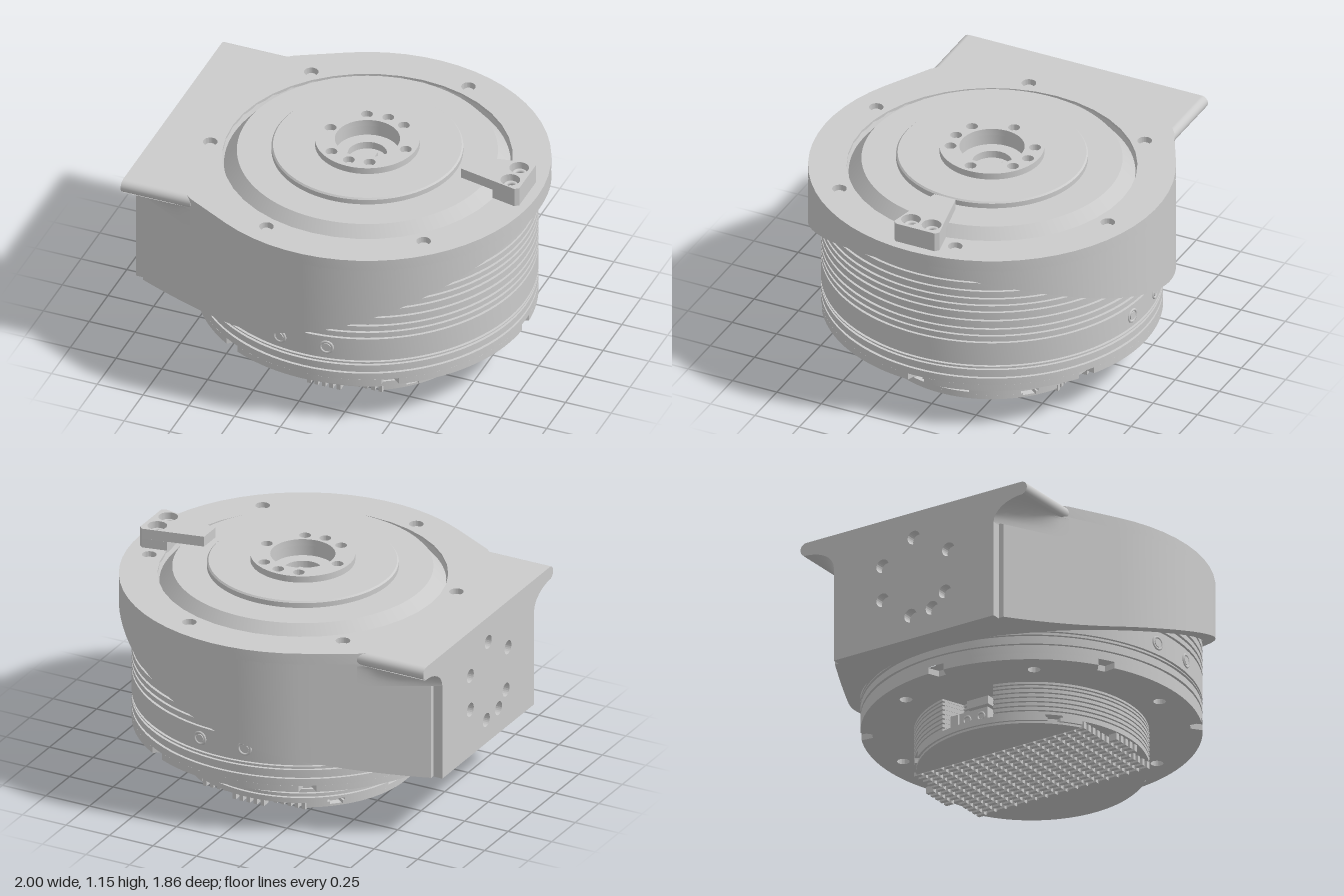
import * as THREE from 'three';
import { toCreasedNormals, mergeGeometries } from 'three/addons/utils/BufferGeometryUtils.js';

const CX = 0.065;            // main axis
const R = 0.93;              // housing radius
const PHI = THREE.MathUtils.degToRad(118); // where the arm walls leave the circle
const grey = new THREE.MeshStandardMaterial({ color: 0xcccccc });
const greyBoth = new THREE.MeshStandardMaterial({ color: 0xcccccc, side: THREE.DoubleSide });
const rad = THREE.MathUtils.degToRad;

const cutY = x => 0.53 + 0.305 * x + 0.115 * x * x;   // sloping lower edge of the housing
const tx = CX + R * Math.cos(PHI), tz = R * Math.sin(PHI);
const wallZ = x => tz + (x - tx) * 0.532;             // straight tangent wall of the arm

function add(group, name, geo, mat = grey) {
  const m = new THREE.Mesh(geo, mat);
  m.name = name;
  group.add(m);
  return m;
}

// Horizontal slab; shape coordinates are (x, z)
function slab(shape, y0, y1) {
  const g = new THREE.ExtrudeGeometry(shape, { depth: y1 - y0, bevelEnabled: false, curveSegments: 20 });
  return toCreasedNormals(g.rotateX(Math.PI / 2).translate(0, y1, 0), 0.5);
}

function circleHole(shape, x, y, r) {
  shape.holes.push(new THREE.Path().absarc(x, y, r, 0, Math.PI * 2, true));
}

function lathe(pts, seg = 96) {
  const g = new THREE.LatheGeometry(pts.map(p => new THREE.Vector2(...p)), seg);
  return toCreasedNormals(g, 0.5).translate(CX, 0, 0);
}

// Disc outline with radial dips: [angle, half angle, depth]
function discShape(r, dips, a0 = 0, a1 = Math.PI * 2) {
  const pts = [], n = 240;
  for (let i = 0; i < n; i++) {
    const a = a0 + (a1 - a0) * i / (n - 1 + (a1 - a0 > 6 ? 1 : 0));
    const dip = dips.find(d => Math.cos(a - d[0]) > Math.cos(d[1]));
    const q = dip ? r - dip[2] : r;
    pts.push(new THREE.Vector2(CX + q * Math.cos(a), q * Math.sin(a)));
  }
  return new THREE.Shape(pts);
}

// Surface between rows of points
function surface(rows, closed) {
  const n = rows[0].length, idx = [];
  for (let j = 0; j < rows.length - 1; j++) {
    for (let i = 0; i < (closed ? n : n - 1); i++) {
      const k = (i + 1) % n, a = j * n + i, b = j * n + k, d = a + n, c = b + n;
      idx.push(a, d, c, a, c, b);
    }
  }
  const g = new THREE.BufferGeometry();
  g.setAttribute('position', new THREE.Float32BufferAttribute(rows.flat(2), 3));
  g.setIndex(idx);
  return toCreasedNormals(g, 0.5);
}

function housing() {
  const g = new THREE.Group();
  g.name = 'housing';
  // wall outline: round part, then the two arm walls
  const loop = [];
  for (let i = 0; i <= 90; i++) {
    const a = -PHI + 2 * PHI * i / 90;
    loop.push([CX + R * Math.cos(a), R * Math.sin(a)]);
  }
  const xs = Array.from({ length: 10 }, (_, i) => tx + (-0.95 - tx) * (i + 1) / 10);
  xs.forEach(x => loop.push([x, wallZ(x)]));
  [...xs].reverse().forEach(x => loop.push([x, -wallZ(x)]));
  const low = loop.map(([x, z]) => [x, cutY(x), z]);
  const high = loop.map(([x, z]) => [x, 0.98, z]);
  const inner = loop.map(([x, z]) => {
    const a = Math.atan2(z, x - CX), ix = CX + 0.86 * Math.cos(a);
    return [ix, cutY(ix), 0.86 * Math.sin(a)];
  });
  add(g, 'housingWall', surface([low, high], true));
  add(g, 'housingUnderside', surface([inner, low], true), greyBoth);

  // top plate with ring opening and screw holes
  const top = new THREE.Shape();
  top.absarc(CX, 0, R, -PHI, PHI, false);
  [[-0.62, 0.688], [-0.66, 0.655], [-1, 0.655], [-1, -0.655], [-0.66, -0.655], [-0.62, -0.688]]
    .forEach(p => top.lineTo(...p));
  circleHole(top, CX, 0, 0.735);
  for (let i = 0; i < 6; i++) {
    const a = rad(-73 + 60 * i), x = CX + 0.805 * Math.cos(a), z = 0.805 * Math.sin(a);
    circleHole(top, x, z, 0.037);
    add(g, 'topScrew', new THREE.CylinderGeometry(0.026, 0.037, 0.03, 20).translate(x, 1.0, z));
  }
  add(g, 'topPlate', slab(top, 0.97, 1.04));

  // overhanging lips with a cove below, both sides
  const cove = (x, t) => {
    const w = wallZ(x), l = Math.max(0.67, w);
    return [w + (l - w) * (1 - Math.cos(t)), 0.86 + 0.11 * Math.sin(t)];
  };
  const ts = Array.from({ length: 9 }, (_, i) => i * Math.PI / 16);
  for (const s of [1, -1]) {
    const rows = ts.map(t => Array.from({ length: 9 }, (_, i) => {
      const x = -1 + 0.38 * i / 8, [z, y] = cove(x, t);
      return [x, y, s * z];
    }));
    add(g, 'lipCove', surface(rows, false), greyBoth);
    add(g, 'lipEdge', new THREE.CylinderGeometry(0.035, 0.035, 0.38, 24)
      .rotateZ(Math.PI / 2).translate(-0.81, 1.005, s * 0.655));
  }

  // mounting face at the end of the arm
  const side = [[wallZ(-1), cutY(-1)], ...ts.map(t => cove(-1, t)), [0.655, 0.975]];
  const face = new THREE.Shape([...side, ...side.map(([z, y]) => [-z, y]).reverse()]
    .map(p => new THREE.Vector2(...p)));
  for (const [z, y] of [[0, 0.9], [0.21, 0.78], [-0.19, 0.79], [0.19, 0.55], [-0.19, 0.6], [0.11, 0.48], [-0.02, 0.47]])
    circleHole(face, z, y, 0.037);
  add(g, 'mountingFace', new THREE.ExtrudeGeometry(face, { depth: 0.05, bevelEnabled: false })
    .rotateY(-Math.PI / 2).translate(-0.95, 0, 0));
  return g;
}

function hub() {
  const g = new THREE.Group();
  g.name = 'outputHub';
  add(g, 'hubDisc', lathe([[0.735, 1.03], [0.725, 1.0], [0.66, 1.08], [0.485, 1.08], [0.485, 1.107],
    [0.477, 1.115], [0.165, 1.115], [0.165, 1.06], [0.1, 1.06], [0.1, 1.02], [0, 1.02]]));
  const ring = discShape(0.265, []);
  circleHole(ring, CX, 0, 0.165);
  for (const [x, z] of [[-0.02, -0.2], [0.09, -0.215], [0.19, -0.18], [0.28, 0.015],
    [0.155, 0.19], [0.05, 0.21], [-0.06, 0.175], [-0.145, -0.02]]) circleHole(ring, x, z, 0.03);
  add(g, 'hubFlange', slab(ring, 1.115, 1.15));
  add(g, 'hubSquare', new THREE.BoxGeometry(0.08, 0.03, 0.08).translate(CX, 1.035, 0));
  return g;
}

function clip() {
  const g = new THREE.Group();
  g.name = 'clip';
  const tongue = new THREE.Shape([[0.6, -0.06], [0.92, -0.127], [0.94, -0.11], [0.94, 0.11], [0.92, 0.127], [0.6, 0.06]]
    .map(p => new THREE.Vector2(...p)));
  const foot = new THREE.Shape([[0.79, -0.1], [0.92, -0.127], [0.94, -0.11], [0.94, 0.11], [0.92, 0.127], [0.79, 0.1]]
    .map(p => new THREE.Vector2(...p)));
  for (const z of [-0.058, 0.058]) {
    circleHole(tongue, 0.87, z, 0.05);
    add(g, 'clipScrew', new THREE.TorusGeometry(0.031, 0.012, 8, 24).rotateX(Math.PI / 2).translate(0.87, 1.105, z));
  }
  add(g, 'clipTongue', slab(tongue, 1.09, 1.145));
  add(g, 'clipFoot', slab(foot, 1.04, 1.09));
  return g;
}

function body() {
  const g = new THREE.Group();
  g.name = 'body';
  const pts = [[0.865, 0.265]];
  for (const y of [0.31, 0.36, 0.38, 0.52, 0.56, 0.6, 0.65, 0.7, 0.74, 0.78, 0.825, 0.875])
    pts.push([0.865, y - 0.007], [0.85, y - 0.007], [0.85, y + 0.007], [0.865, y + 0.007]);
  pts.push([0.865, 0.97]);
  add(g, 'groovedBarrel', lathe(pts));
  // notched base ring
  const dips = Array.from({ length: 6 }, (_, i) => [rad(60 * i), 0.047, 0.06]);
  const base = discShape(0.865, dips);
  for (let i = 0; i < 6; i++) {
    const a = rad(60 * i + 25);
    circleHole(base, CX + 0.74 * Math.cos(a), 0.74 * Math.sin(a), 0.032);
  }
  add(g, 'notchedBase', slab(base, 0.23, 0.265));
  add(g, 'baseCover', lathe([[0, 0.262], [0.865, 0.262]]));
  // side screws, front and back
  for (const deg of [81.5, 98.5, 261.5, 278.5]) {
    const screw = new THREE.Group();
    screw.name = 'sideScrew';
    add(screw, 'screwRim', new THREE.TorusGeometry(0.032, 0.007, 8, 24));
    add(screw, 'screwHead', new THREE.CylinderGeometry(0.022, 0.022, 0.012, 20).rotateX(Math.PI / 2));
    const a = rad(deg);
    screw.position.set(CX + 0.864 * Math.cos(a), 0.45, 0.864 * Math.sin(a));
    screw.rotation.y = Math.PI / 2 - a;
    g.add(screw);
  }
  return g;
}

function foot() {
  const g = new THREE.Group();
  g.name = 'lowerDrum';
  // stacked layers, wide and narrow, with a connector slot on both sides
  const r = 0.595, slots = [[0, 0.245, 0.13], [Math.PI, 0.245, 0.13]];
  const corners = [45, 135, 225, 315].map(d => [rad(d), 0.055, 0.05]);
  const wide = discShape(r, slots), narrow = discShape(r - 0.015, slots);
  const grooves = [0.065, 0.09, 0.115, 0.14, 0.165, 0.19, 0.21];
  let y = 0.05;
  for (const gy of grooves) {
    add(g, 'drumLayer', slab(wide, y, gy));
    add(g, 'drumGroove', slab(narrow, gy, gy + 0.008));
    y = gy + 0.008;
  }
  add(g, 'drumLayer', slab(wide, y, 0.235));
  add(g, 'drumFloor', slab(discShape(r, corners), 0.037, 0.05));
  // flat base segments either side of the pin field
  const a = Math.acos(0.3 / r);
  for (const c of [0, Math.PI]) {
    add(g, 'baseSegment', slab(discShape(r, corners, c - a, c + a), 0.018, 0.037));
    add(g, 'baseSegment', slab(discShape(r - 0.012, [], c - a, c + a), 0.006, 0.018));
  }
  // cooling pins
  const pins = [];
  for (let i = -7; i <= 7; i++) {
    for (let j = -9; j <= 9; j++) {
      const x = i * 0.0405, z = j * 0.062;
      if (Math.hypot(x, Math.abs(z) + 0.02) < r - 0.005)
        pins.push(new THREE.BoxGeometry(0.021, 0.04, 0.045).translate(CX + x, 0.02, z));
    }
  }
  add(g, 'coolingPins', mergeGeometries(pins));
  // connectors
  for (const side of [0, Math.PI]) {
    const c = new THREE.Group();
    c.name = 'connector';
    add(c, 'connectorBlock', new THREE.BoxGeometry(0.1, 0.08, 0.17).translate(0.51, 0.085, -0.025));
    add(c, 'connectorPlug', new THREE.BoxGeometry(0.1, 0.075, 0.045).translate(0.515, 0.085, 0.09));
    add(c, 'connectorTop', new THREE.BoxGeometry(0.08, 0.045, 0.13).translate(0.5, 0.175, -0.035));
    for (const z of [0.015, -0.07])
      add(c, 'connectorScrew', new THREE.TorusGeometry(0.02, 0.006, 8, 20).rotateY(Math.PI / 2).translate(0.56, 0.08, z));
    c.position.x = CX;
    c.rotation.y = side;
    g.add(c);
  }
  return g;
}

export function createModel() {
  const model = new THREE.Group();
  model.name = 'rotaryDrive';
  model.add(housing(), hub(), clip(), body(), foot());
  return model;
}
